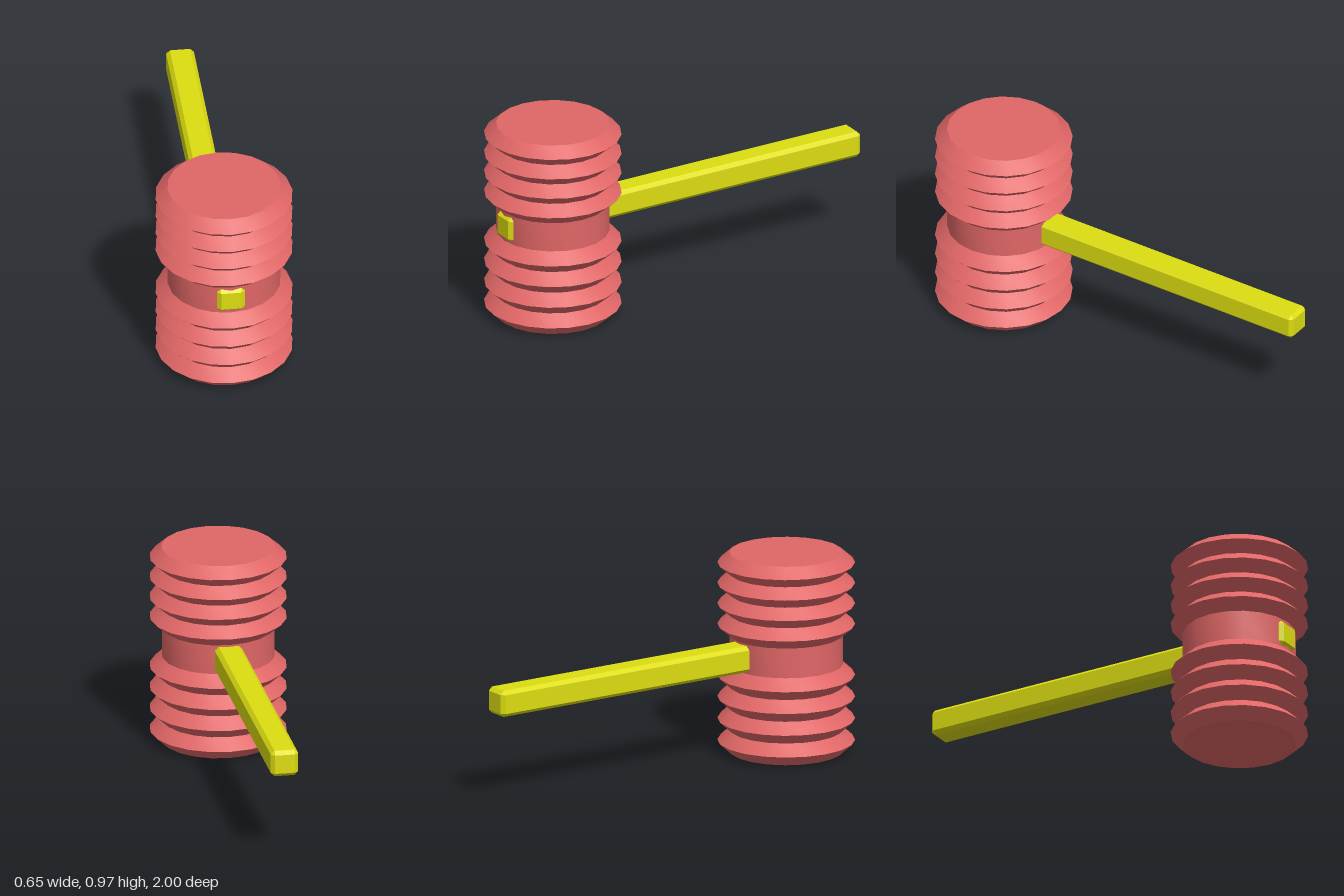
import * as THREE from 'three';
import { toCreasedNormals } from 'three/addons/utils/BufferGeometryUtils.js';
import { ConvexGeometry } from 'three/addons/geometries/ConvexGeometry.js';

const SIDES = 20, VALLEY = 0.268, PEAK = 0.325, RIDGES = 4;

// Box with every edge cut at 45 degrees
function chamferedBox(hx, hy, hz, c) {
  const points = [];
  for (const sx of [-1, 1]) for (const sy of [-1, 1]) for (const sz of [-1, 1]) {
    points.push(
      new THREE.Vector3(sx * hx, sy * (hy - c), sz * (hz - c)),
      new THREE.Vector3(sx * (hx - c), sy * hy, sz * (hz - c)),
      new THREE.Vector3(sx * (hx - c), sy * (hy - c), sz * hz));
  }
  return new ConvexGeometry(points);
}

// Zigzag bellows outline between two heights
function bellows(y0, y1) {
  const points = [];
  for (let i = 0; i <= RIDGES * 2; i++) {
    points.push(new THREE.Vector2(i % 2 ? PEAK : VALLEY, y0 + (y1 - y0) * i / (RIDGES * 2)));
  }
  return points;
}

export function createModel() {
  const group = new THREE.Group();
  group.name = 'squeakyHammer';

  // Head: two bellows joined by a plain collar
  const profile = [
    new THREE.Vector2(0, 0),
    ...bellows(0, 0.425),
    ...bellows(0.57, 0.97),
    new THREE.Vector2(0, 0.97),
  ];
  const head = new THREE.Mesh(
    toCreasedNormals(new THREE.LatheGeometry(profile, SIDES), 0.6),
    new THREE.MeshStandardMaterial({ color: 0xe06666 }));
  head.name = 'head';
  head.position.z = 0.673;
  group.add(head);

  // Handle: runs through the collar, its tip just showing in front
  const handle = new THREE.Mesh(
    chamferedBox(0.066, 0.064, 0.975, 0.018),
    new THREE.MeshStandardMaterial({ color: 0xdddd11 }));
  handle.name = 'handle';
  handle.position.set(0, 0.497, -0.025);
  group.add(handle);

  return group;
}
